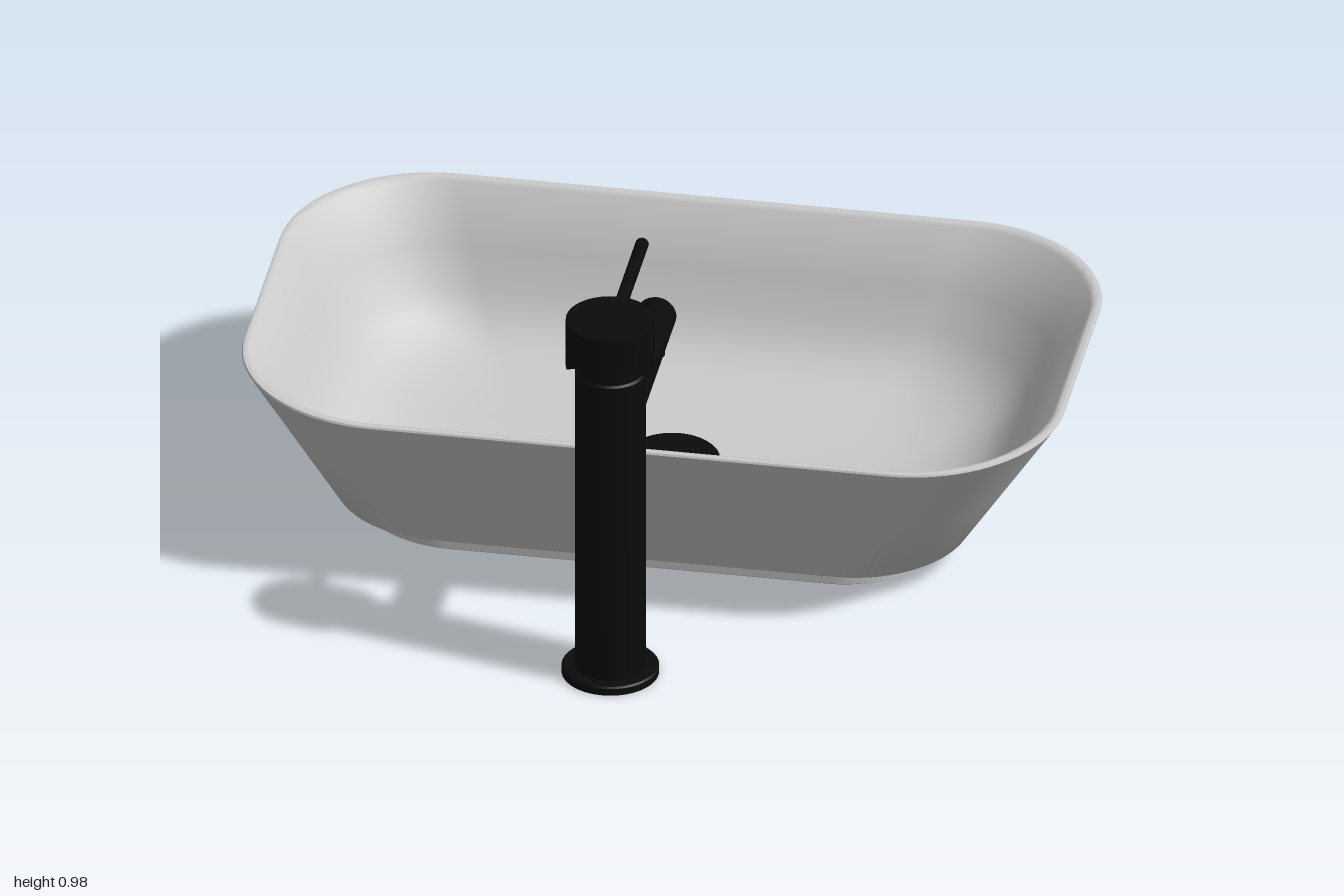
import * as THREE from 'three';
import { toCreasedNormals } from 'three/addons/utils/BufferGeometryUtils.js';

const grey = new THREE.MeshStandardMaterial({ color: 0xcccccc });
const paint = (color) => new THREE.MeshStandardMaterial({ color });
const black = paint(0x0b0b0b);
const POST_Z = 0.663;

function part(group, name, geometry, material, x = 0, y = 0, z = 0) {
  const mesh = new THREE.Mesh(geometry, material);
  mesh.name = name;
  mesh.position.set(x, y, z);
  group.add(mesh);
  return mesh;
}

// Solid of revolution with crisp edges, from [radius, height] pairs
function turned(points, sides = 48) {
  const profile = points.map(([r, y]) => new THREE.Vector2(r, y));
  return toCreasedNormals(new THREE.LatheGeometry(profile, sides), 0.6);
}

// Loop of points round a rectangle with rounded corners
function roundedLoop({ y, cx, cz, hw, hd, r }, steps = 20) {
  const points = [];
  for (let q = 0; q < 4; q++) {
    const sx = q === 0 || q === 3 ? 1 : -1;
    const sz = q < 2 ? 1 : -1;
    for (let k = 0; k <= steps; k++) {
      const a = (q + k / steps) * Math.PI / 2;
      points.push([cx + sx * (hw - r) + r * Math.cos(a), y, cz + sz * (hd - r) + r * Math.sin(a)]);
    }
  }
  return points;
}

function loft(sections) {
  const loops = sections.map((s) => roundedLoop(s));
  const n = loops[0].length;
  const index = [];
  for (let i = 0; i < loops.length - 1; i++) {
    for (let j = 0; j < n; j++) {
      const k = (j + 1) % n;
      const a = i * n + j, b = i * n + k, c = a + n, d = b + n;
      index.push(a, c, d, a, d, b);
    }
  }
  const geometry = new THREE.BufferGeometry();
  geometry.setAttribute('position', new THREE.Float32BufferAttribute(loops.flat(2), 3));
  geometry.setIndex(index);
  return toCreasedNormals(geometry, 0.6);
}

// Tapered body section at height y, pulled in from the outer wall by inset
function section(y, inset = 0, insetD = inset) {
  const t = THREE.MathUtils.clamp((y - 0.06) / 0.42, 0, 1);
  const mix = (a, b) => THREE.MathUtils.lerp(a, b, t);
  const hw = Math.max(0, mix(0.768, 1) - inset);
  const hd = Math.max(0, mix(0.43, 0.61) - insetD);
  return { y, cx: mix(-0.022, 0), cz: mix(-0.19, -0.17), hw, hd, r: Math.min(hd, Math.max(0, mix(0.28, 0.37) - inset * 0.6)) };
}

function createBasin() {
  const basin = new THREE.Group();
  basin.name = 'basin';
  const bowl = loft([
    // foot
    section(0.008, 1), section(0.008, 0.065, 0.06), section(0.014, 0.057, 0.052), section(0.06, 0.055, 0.05),
    // outer wall
    section(0.06, 0.008), section(0.066, 0), section(0.27), section(0.476),
    // rounded rim
    section(0.481, 0.004), section(0.483, 0.012), section(0.481, 0.02), section(0.474, 0.026),
    // inner wall curving into the floor
    section(0.33, 0.028), section(0.24, 0.031), section(0.19, 0.042), section(0.155, 0.065),
    section(0.128, 0.1), section(0.11, 0.15), section(0.099, 0.22), section(0.094, 0.3), section(0.09, 1),
  ]);
  part(basin, 'bowl', bowl, grey);
  part(basin, 'drainCover', turned([[0, 0.085], [0.112, 0.085], [0.115, 0.09], [0.115, 0.108], [0.11, 0.113], [0, 0.117]]), black, 0, 0, -0.17);
  // overflow ring, lying against the sloping front wall
  const ring = part(basin, 'overflowRing', new THREE.TorusGeometry(0.029, 0.006, 10, 32), black, 0, 0.27, 0.306);
  ring.rotation.x = 0.44;
  return basin;
}

function createFaucet() {
  const faucet = new THREE.Group();
  faucet.name = 'faucet';
  faucet.position.z = POST_Z;

  part(faucet, 'baseFlange', turned([[0, 0], [0.117, 0], [0.117, 0.018], [0.113, 0.022], [0, 0.022]]), black);
  part(faucet, 'post', turned([[0, 0.01], [0.085, 0.01], [0.085, 0.834], [0.08, 0.839], [0, 0.839]]), black);
  part(faucet, 'neck', new THREE.CylinderGeometry(0.078, 0.078, 0.06, 48), black, 0, 0.86, 0);

  // head, with its lower front edge scooped upward
  const head = new THREE.CylinderGeometry(0.107, 0.107, 0.13, 64);
  const p = head.attributes.position;
  for (let i = 0; i < p.count; i++) {
    if (p.getY(i) < 0) p.setY(i, p.getY(i) + 0.043 * THREE.MathUtils.smoothstep(p.getZ(i), 0.03, 0.1));
  }
  part(faucet, 'head', toCreasedNormals(head, 0.6), black, 0, 0.914, 0);

  // lever, spout and aerator
  const lever = part(faucet, 'lever', turned([[0, 0], [0.016, 0], [0.016, 0.35], [0.013, 0.355], [0, 0.355]], 24), black, 0, 0.939, -0.08);
  lever.rotation.x = -Math.PI / 2;
  const spout = part(faucet, 'spout', turned([[0, 0], [0.048, 0], [0.048, 0.565], [0.044, 0.572], [0, 0.572]]), black, 0, 0.628, -0.06);
  spout.rotation.x = -Math.PI / 2;
  part(faucet, 'aerator', new THREE.CylinderGeometry(0.033, 0.033, 0.05, 32), black, 0, 0.586, -0.553);

  // hot and cold marks on the side facing the basin
  for (const [name, side, color] of [['hotMark', 1, 0xcc0000], ['coldMark', -1, 0x0000cc]]) {
    const a = side * 0.38;
    const mark = part(faucet, name, new THREE.BoxGeometry(0.01, 0.06, 0.003), paint(color), Math.sin(a) * 0.085, 0.735, -Math.cos(a) * 0.085);
    mark.rotation.y = -a;
  }
  return faucet;
}

export function createModel() {
  const model = new THREE.Group();
  model.name = 'washbasinWithFaucet';
  model.add(createBasin(), createFaucet());
  return model;
}
